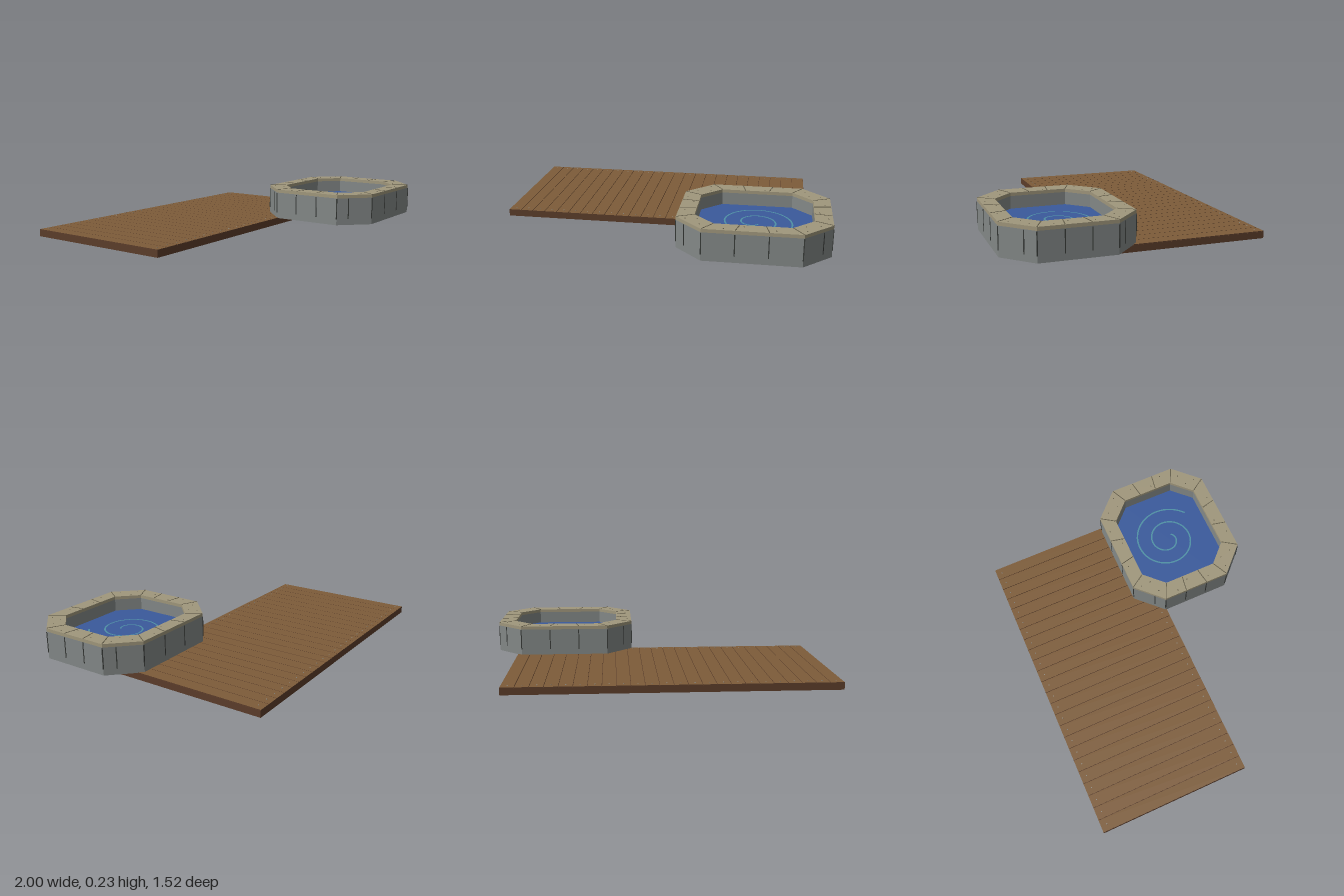
import * as THREE from 'three';

const mat = (name, color) => {
  const m = new THREE.MeshStandardMaterial({ color });
  m.name = name;
  return m;
};

// Corner points [x, z] of a rectangle with cut corners
function octagon(x0, x1, z0, z1, cut) {
  return [
    [x0 + cut, z0], [x1 - cut, z0], [x1, z0 + cut], [x1, z1 - cut],
    [x1 - cut, z1], [x0 + cut, z1], [x0, z1 - cut], [x0, z0 + cut],
  ].map(([x, z]) => new THREE.Vector2(x, z));
}

// Upright prism between two heights, with an optional hole
function prism(points, hole, y0, y1) {
  const shape = new THREE.Shape(points);
  if (hole) shape.holes.push(new THREE.Path(hole));
  const g = new THREE.ExtrudeGeometry(shape, { depth: y1 - y0, bevelEnabled: false });
  return g.rotateX(Math.PI / 2).translate(0, y1, 0);
}

export function createModel() {
  const group = new THREE.Group();
  const wood = mat('plank brown', 0x7d5c39);
  const darkWood = mat('frame brown', 0x5c3d2a);
  const nailMat = mat('nail grey', 0x8f8a80);
  const stone = mat('stone grey', 0x838887);
  const capMat = mat('coping tan', 0xa0977c);
  const seamMat = mat('wall seam', 0x3a3d3a);
  const jointMat = mat('coping joint', 0x635d4a);
  const water = mat('water blue', 0x3a5a9c);
  const swirlMat = mat('swirl teal', 0x4f91a5);
  water.side = swirlMat.side = THREE.FrontSide;

  const add = (name, geometry, material, parent = group) => {
    const m = new THREE.Mesh(geometry, material);
    m.name = name;
    parent.add(m);
    return m;
  };
  const sub = (name) => {
    const g = new THREE.Group();
    g.name = name;
    group.add(g);
    return g;
  };

  // Deck: dark frame with narrow planks laid across it
  const deck = sub('deck');
  const X0 = -1, X1 = 0.87, Z0 = -0.757, Z1 = 0.178, planks = 24;
  const midZ = (Z0 + Z1) / 2, step = (X1 - X0) / planks;
  add('deckFrame', new THREE.BoxGeometry(X1 - X0, 0.038, Z1 - Z0)
    .translate((X0 + X1) / 2, 0.019, midZ), darkWood, deck);
  const plankGeo = new THREE.BoxGeometry(step - 0.003, 0.005, Z1 - Z0);
  const nailGeo = new THREE.CylinderGeometry(0.004, 0.004, 0.002, 6);
  const sides = [darkWood, darkWood, wood, darkWood, darkWood, darkWood];
  for (let i = 0; i < planks; i++) {
    const x = X0 + (i + 0.5) * step;
    add('plank', plankGeo, sides, deck).position.set(x, 0.0405, midZ);
    for (const z of [-0.72, 0.14]) add('nail', nailGeo, nailMat, deck).position.set(x, 0.044, z);
  }

  // Pool basin and coping
  const pool = sub('pool');
  const outer = octagon(0.14, 1, 0.012, 0.757, 0.158);
  const inner = octagon(0.24, 0.9, 0.1, 0.668, 0.118);
  const waterY = 0.13, top = 0.225;
  add('poolFloor', prism(outer, null, 0.04, 0.12), stone, pool);
  add('poolWall', prism(outer, inner, 0.12, 0.205), stone, pool);
  add('coping', prism(outer, inner, 0.205, top), capMat, pool);
  add('water', prism(inner, null, 0.121, waterY), water, pool);

  // Seams on the wall and joints across the coping
  outer.forEach((a, i) => {
    const b = outer[(i + 1) % 8], c = inner[i], d = inner[(i + 1) % 8];
    const straight = i % 2 === 0;
    const turn = -Math.atan2(b.y - a.y, b.x - a.x);
    const nearSide = i === 1 || i === 5 ? 2 / 3 : 1 / 3;
    for (const t of straight ? [0, 1 / 3, 2 / 3, 1] : [nearSide]) {
      const p = a.clone().lerp(b, t), q = c.clone().lerp(d, t);
      const seam = add('wallSeam', new THREE.BoxGeometry(0.006, 0.125, 0.004), seamMat, pool);
      seam.position.set(p.x, 0.1395, p.y);
      seam.rotation.y = turn;
      if (!straight) continue;
      const joint = add('copingJoint',
        new THREE.BoxGeometry(p.distanceTo(q) - 0.004, 0.003, 0.005), jointMat, pool);
      joint.position.set((p.x + q.x) / 2, top, (p.y + q.y) / 2);
      joint.rotation.y = -Math.atan2(q.y - p.y, q.x - p.x);
    }
    // Small pits in the coping
    for (const [t, s] of [[0.25, 0.35], [0.6, 0.7], [0.8, 0.25]]) {
      const p = a.clone().lerp(b, t).lerp(c.clone().lerp(d, t), s);
      add('pit', nailGeo, jointMat, pool).position.set(p.x, top, p.y);
    }
  });

  // Flat spiral ribbon lying on the water
  const pos = [], index = [], turns = 96, half = 0.005;
  for (let i = 0; i <= turns; i++) {
    const t = i / turns, a = 0.96 + t * Math.PI * 4, r = 0.042 + 0.191 * t;
    for (const w of [-half, half]) {
      pos.push(0.566 + (r + w) * Math.cos(a), waterY + 0.002, 0.378 + (r + w) * Math.sin(a));
    }
    if (i < turns) {
      const k = i * 2;
      index.push(k, k + 2, k + 1, k + 1, k + 2, k + 3);
    }
  }
  const swirl = new THREE.BufferGeometry();
  swirl.setAttribute('position', new THREE.Float32BufferAttribute(pos, 3));
  swirl.setIndex(index);
  swirl.computeVertexNormals();
  add('waterSwirl', swirl, swirlMat, pool);

  return group;
}
